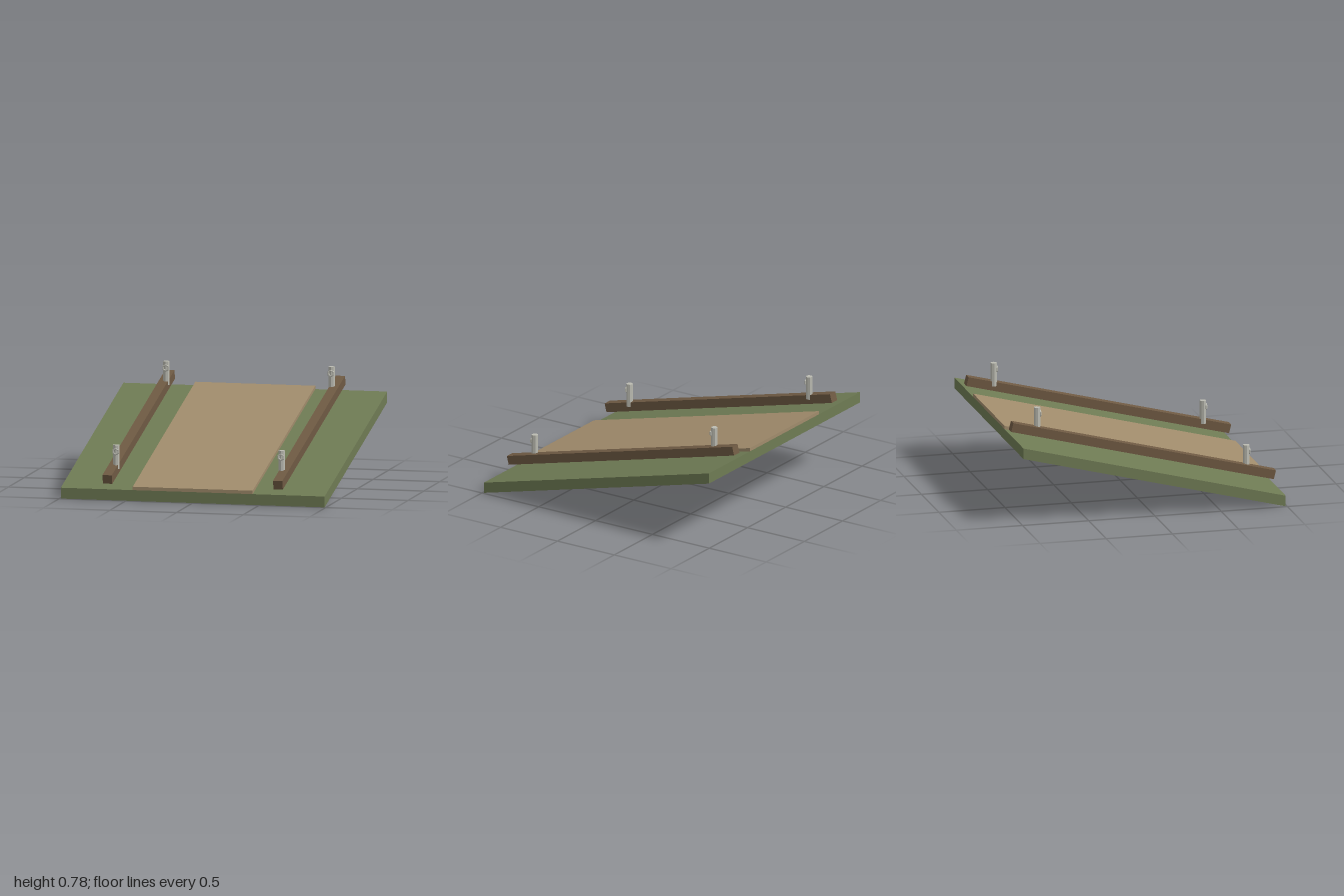
import * as THREE from 'three';

const SLOPE = 0.5 / 1.98; // rise towards the back

const material = (name, color) => {
  const m = new THREE.MeshStandardMaterial({ color, flatShading: true });
  m.name = name;
  return m;
};

export function createModel() {
  const group = new THREE.Group();
  const grass = material('grass green', 0x6f7b54);
  const dirt = material('dirt tan', 0xa18c6c);
  const wood = material('wood brown', 0x6f5a43);
  const metal = material('pale grey', 0xbcbcb2);

  const add = (name, geometry, mat, x, y, z, parent = group) => {
    const mesh = new THREE.Mesh(geometry, mat);
    mesh.name = name;
    mesh.position.set(x, y, z);
    parent.add(mesh);
    return mesh;
  };

  // Slab sheared along z, so that its ends stay vertical
  const ramp = (width, height) => {
    const g = new THREE.BoxGeometry(width, height, 1.98);
    const p = g.attributes.position;
    for (let i = 0; i < p.count; i++) p.setY(i, p.getY(i) - p.getZ(i) * SLOPE);
    g.computeVertexNormals();
    return g;
  };
  add('grassSlope', ramp(1.98, 0.08), grass, 0, 0.29, 0);
  add('dirtPath', ramp(0.9, 0.025), dirt, 0, 0.3425, 0);

  for (const side of [-1, 1]) {
    // Square timber rail tilted with the slope
    const rail = add(side > 0 ? 'leftRail' : 'rightRail',
      new THREE.BoxGeometry(0.07, 0.067, 2.045), wood, side * 0.64, 0.403, 0);
    rail.rotation.x = Math.atan(SLOPE);

    // Upright posts, each with a small ring on its front
    for (const z of [0.79, -0.79]) {
      const post = new THREE.Group();
      post.name = (z > 0 ? 'front' : 'back') + (side > 0 ? 'Left' : 'Right') + 'Post';
      post.position.set(side * 0.62, 0.4925 - z * SLOPE, z);
      add('postShaft', new THREE.CylinderGeometry(0.024, 0.024, 0.175, 8), metal, 0, 0, 0, post);
      const ring = add('postRing', new THREE.TorusGeometry(0.021, 0.007, 6, 6), metal, 0, 0.04, 0.022, post);
      ring.rotation.z = Math.PI / 6;
      group.add(post);
    }
  }
  return group;
}
